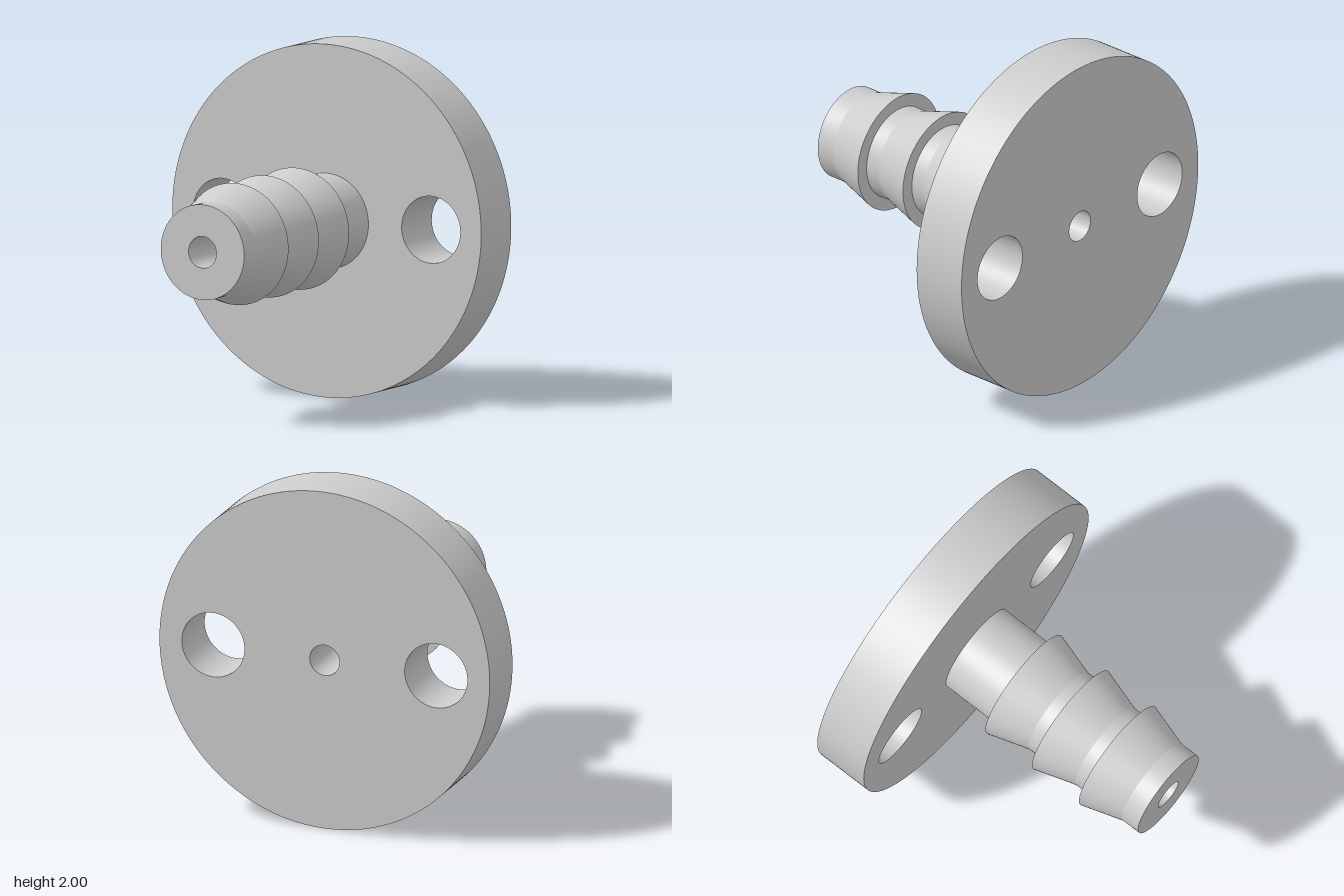
import * as THREE from 'three';
import { toCreasedNormals } from 'three/addons/utils/BufferGeometryUtils.js';

const CREASE = 0.2;
const AXIS_Y = 1;
const BACK = -0.86, FLANGE_FRONT = -0.525, TIP = 0.86;
const BORE = 0.09, STEM = 0.27, BARB = 0.345;

function circle(PathType, x, radius) {
  const path = new PathType();
  path.absarc(x, 0, radius, 0, Math.PI * 2, false);
  return path;
}

export function createModel() {
  const group = new THREE.Group();
  const material = new THREE.MeshStandardMaterial({ color: 0xcccccc });

  const add = (name, geometry) => {
    const mesh = new THREE.Mesh(toCreasedNormals(geometry, CREASE), material);
    mesh.name = name;
    mesh.position.y = AXIS_Y;
    group.add(mesh);
  };

  // Round flange with a central bore and two bolt holes
  const disc = circle(THREE.Shape, 0, 1);
  disc.holes.push(circle(THREE.Path, 0, BORE));
  for (const side of [-1, 1]) disc.holes.push(circle(THREE.Path, side * 0.675, 0.19));
  const flange = new THREE.ExtrudeGeometry(disc, {
    depth: FLANGE_FRONT - BACK, bevelEnabled: false, curveSegments: 96,
  });
  flange.translate(0, 0, BACK);
  add('flange', flange);

  // Hollow hose stem: each barb steps out sharply, then tapers towards the tip
  const profile = [[STEM, FLANGE_FRONT]];
  for (const z of [-0.18, 0.157, 0.495]) {
    profile.push([STEM, z], [BARB, z], [STEM, z + 0.25]);
  }
  profile.push([STEM, TIP], [BORE, TIP], [BORE, FLANGE_FRONT]);
  const stem = new THREE.LatheGeometry(profile.map(([r, z]) => new THREE.Vector2(r, z)), 96);
  stem.rotateX(Math.PI / 2);
  add('barbedStem', stem);

  return group;
}
